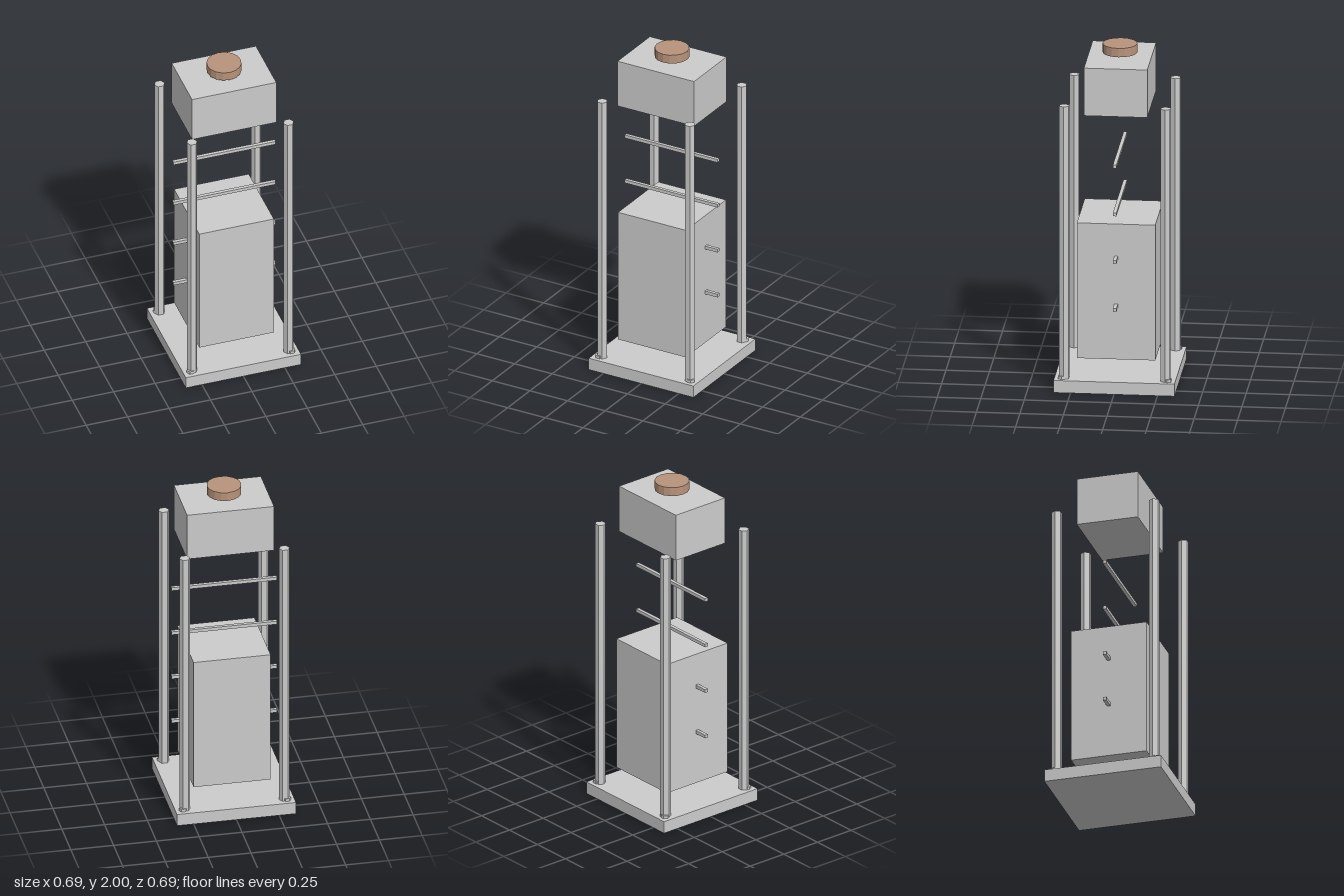
import * as THREE from 'three';

export function createModel() {
  const model = new THREE.Group();
  model.name = 'tower';
  const grey = new THREE.MeshStandardMaterial({ color: 0xcccccc, flatShading: true });
  const brown = new THREE.MeshStandardMaterial({ color: 0xb8937b, flatShading: true });

  function add(name, geometry, x, y, z, material = grey) {
    const mesh = new THREE.Mesh(geometry, material);
    mesh.name = name;
    mesh.position.set(x, y, z);
    model.add(mesh);
    return mesh;
  }
  // Boxes and prisms are given by their bottom and top heights
  const box = (name, w, d, y0, y1) =>
    add(name, new THREE.BoxGeometry(w, y1 - y0, d), 0, (y0 + y1) / 2, 0);
  const prism = (name, r, sides, x, z, y0, y1, material) =>
    add(name, new THREE.CylinderGeometry(r, r, y1 - y0, sides), x, (y0 + y1) / 2, z, material);

  // Base plate, main body and raised head
  box('basePlate', 0.695, 0.695, 0, 0.073);
  box('body', 0.45, 0.45, 0.172, 0.985);
  box('head', 0.508, 0.364, 1.64, 1.926);

  // Round cap floating above the head
  prism('cap', 0.1, 16, 0, 0, 1.947, 2, brown);

  // Hexagonal corner posts, each with a small bolt at its foot
  for (const sx of [-1, 1]) {
    for (const sz of [-1, 1]) {
      const post = prism('post', 0.0315, 6, sx * 0.291, sz * 0.291, 0.073, 1.71);
      const bolt = prism('bolt', 0.0245, 6, sx * 0.303, sz * 0.303, 0.073, 0.09);
      post.rotation.y = bolt.rotation.y = Math.PI / 6;
    }
  }

  // Horizontal rungs, the lower two passing through the body
  for (let i = 0; i < 4; i++) {
    const y = 0.494 + i * 0.2875;
    box('rung', 0.617, 0.0205, y - 0.01, y + 0.01);
  }
  return model;
}
